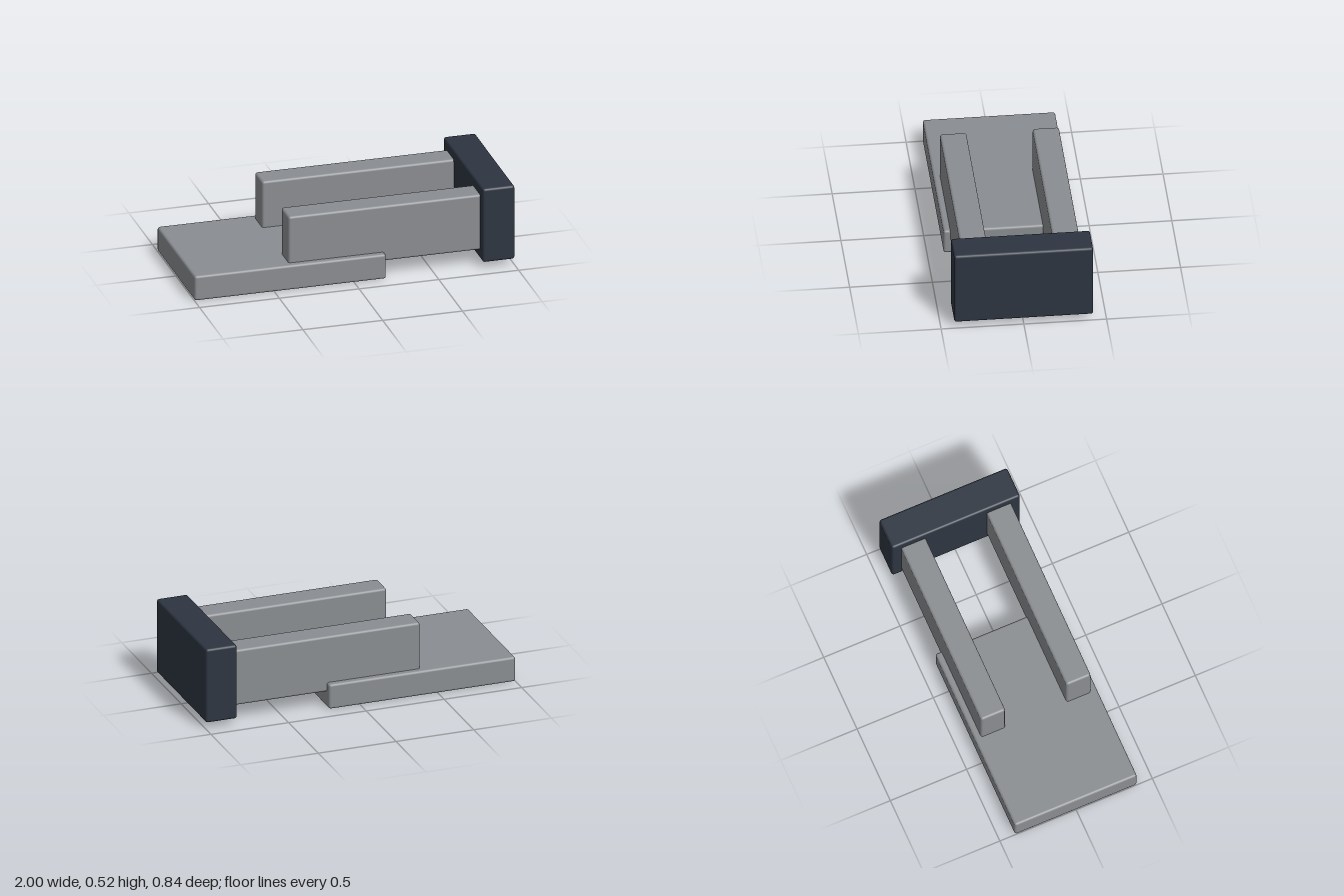
import * as THREE from 'three';
import { RoundedBoxGeometry } from 'three/addons/geometries/RoundedBoxGeometry.js';

export function createModel() {
  const model = new THREE.Group();
  model.name = 'slidingRailAssembly';

  const grey = new THREE.MeshStandardMaterial({ color: 0x8a8d91 });
  grey.name = 'grey metal';
  const navy = new THREE.MeshStandardMaterial({ color: 0x2d3541 });
  navy.name = 'dark slate';

  // Softly bevelled block given by its extents on each axis
  function block(name, material, [x0, x1], [y0, y1], [z0, z1]) {
    const geometry = new RoundedBoxGeometry(x1 - x0, y1 - y0, z1 - z0, 2, 0.015);
    const mesh = new THREE.Mesh(geometry, material);
    mesh.name = name;
    mesh.position.set((x0 + x1) / 2, (y0 + y1) / 2, (z0 + z1) / 2);
    model.add(mesh);
  }

  // Flat base plate
  block('basePlate', grey, [-1, 0.2], [0, 0.16], [-0.4, 0.4]);

  // Two parallel rails sunk into the plate and running into the end block
  block('frontRail', grey, [-0.4, 0.82], [0.1, 0.46], [0.2, 0.36]);
  block('backRail', grey, [-0.4, 0.82], [0.1, 0.46], [-0.36, -0.2]);

  // Dark end block joining the rails
  block('endBlock', navy, [0.8, 1], [0.04, 0.52], [-0.42, 0.42]);

  return model;
}
